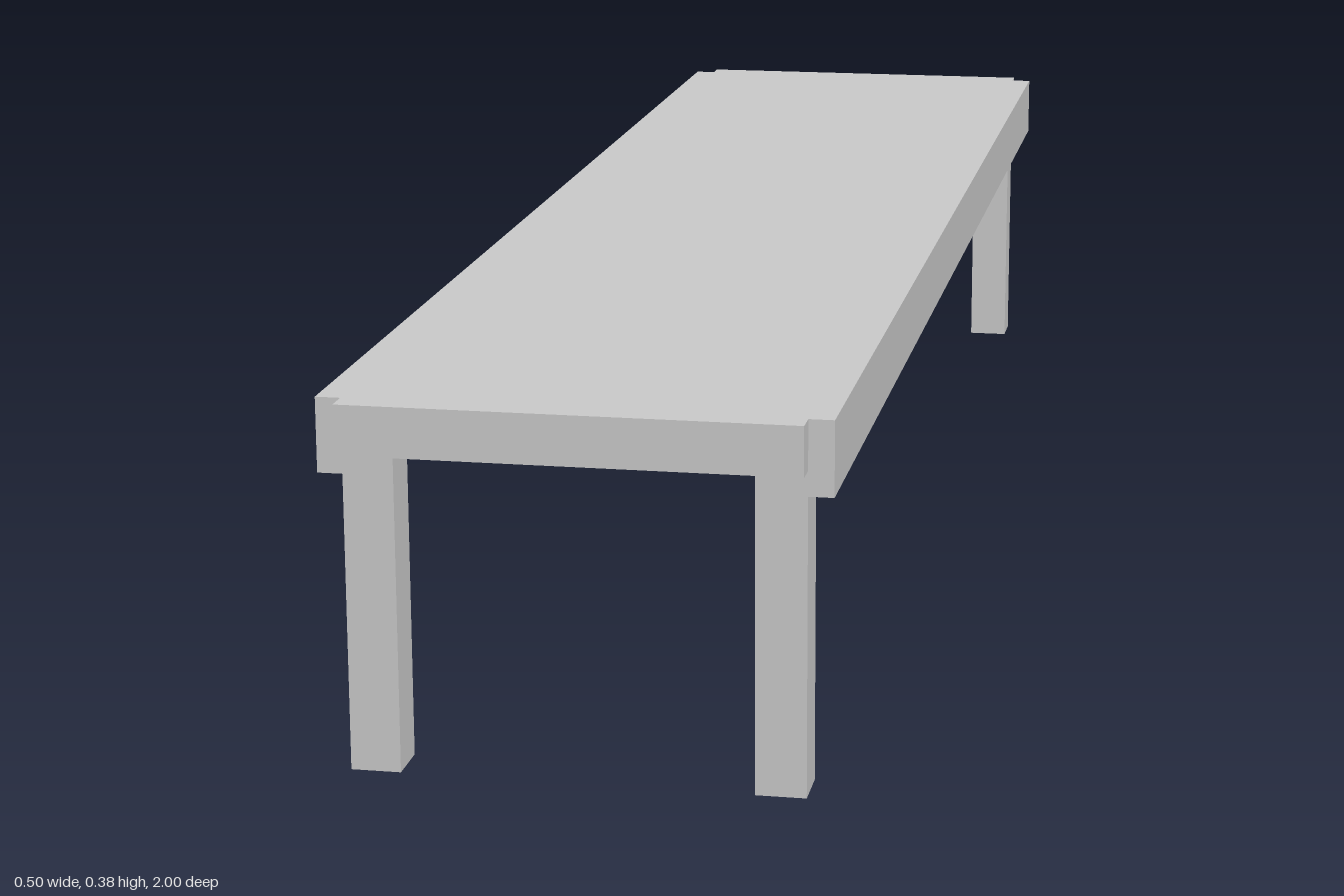
import * as THREE from 'three';

export function createModel() {
  const group = new THREE.Group();
  const material = new THREE.MeshStandardMaterial({ color: 0xcccccc });

  // Box placed by the height of its underside
  const addBox = (name, w, h, d, x, bottom, z) => {
    const mesh = new THREE.Mesh(new THREE.BoxGeometry(w, h, d), material);
    mesh.name = name;
    mesh.position.set(x, bottom + h / 2, z);
    group.add(mesh);
  };

  // Flat top board
  addBox('topBoard', 0.45, 0.05, 1.95, 0, 0.325, 0);

  for (const [side, sx] of [['left', 1], ['right', -1]]) {
    // Deeper rail along each long edge, hanging below the board
    addBox(`${side}SideRail`, 0.025, 0.075, 1.95, sx * 0.2375, 0.3, 0);

    // Square legs tucked inside the rails
    for (const [end, sz] of [['Front', 1], ['Back', -1]]) {
      addBox(`${side}${end}Leg`, 0.05, 0.325, 0.05, sx * 0.2, 0, sz * 0.95);
    }
  }

  // Short end rails, flush with the board, leaving the corners notched
  for (const [end, sz] of [['front', 1], ['back', -1]]) {
    addBox(`${end}EndRail`, 0.45, 0.05, 0.025, 0, 0.325, sz * 0.9875);
  }

  return group;
}
